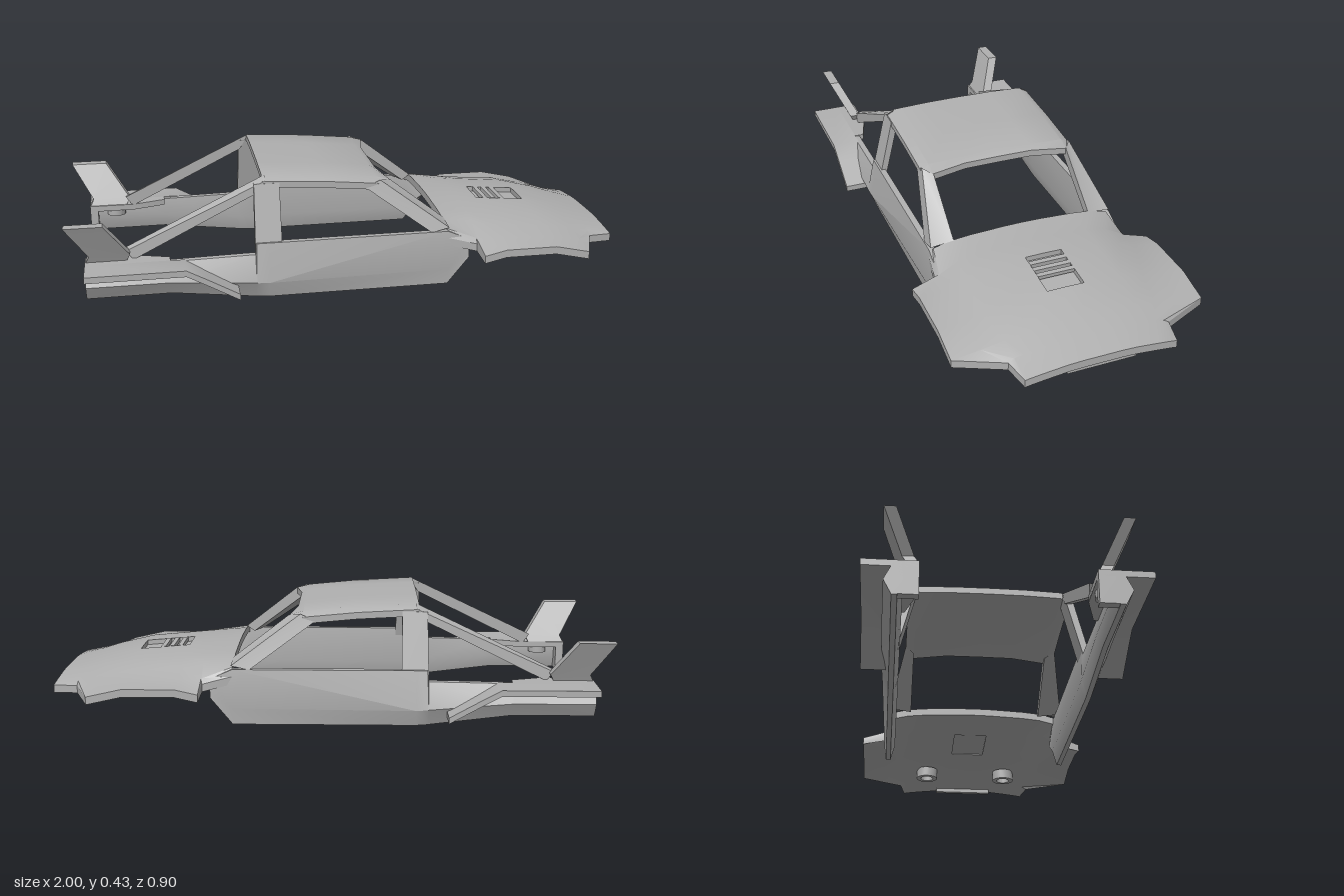
import * as THREE from 'three';
import { toCreasedNormals } from 'three/addons/utils/BufferGeometryUtils.js';

const bodyGrey = new THREE.MeshStandardMaterial({ color: 0xb0b0b0, side: THREE.DoubleSide });
bodyGrey.name = 'body grey';

function fromQuads(quads) {
  const pos = [];
  for (const [a, b, c, d] of quads) pos.push(...a, ...b, ...c, ...a, ...c, ...d);
  const g = new THREE.BufferGeometry();
  g.setAttribute('position', new THREE.Float32BufferAttribute(pos, 3));
  return toCreasedNormals(g, 0.5);
}

// Thick sheet from a grid of points, t deep downwards; skipped cells become holes
function sheet(rows, t, skip = () => false) {
  const quads = [];
  const low = p => [p[0], p[1] - t, p[2]];
  const has = (i, j) => i >= 0 && j >= 0 && i < rows.length - 1 && j < rows[0].length - 1 && !skip(i, j);
  for (let i = 0; i < rows.length - 1; i++) {
    for (let j = 0; j < rows[0].length - 1; j++) {
      if (!has(i, j)) continue;
      const a = rows[i][j], b = rows[i][j + 1], c = rows[i + 1][j + 1], d = rows[i + 1][j];
      quads.push([a, b, c, d], [low(d), low(c), low(b), low(a)]);
      const wall = (p, q) => quads.push([q, p, low(p), low(q)]);
      if (!has(i - 1, j)) wall(a, b);
      if (!has(i, j + 1)) wall(b, c);
      if (!has(i + 1, j)) wall(c, d);
      if (!has(i, j - 1)) wall(d, a);
    }
  }
  return fromQuads(quads);
}

// Solid from closed cross-sections, capped at both ends
function loft(rings) {
  const quads = [], n = rings[0].length;
  for (let i = 0; i < rings.length - 1; i++) {
    for (let j = 0; j < n; j++) {
      const k = (j + 1) % n;
      quads.push([rings[i][j], rings[i][k], rings[i + 1][k], rings[i + 1][j]]);
    }
  }
  const cap = r => {
    for (let j = 1; j < n - 1; j += 2) quads.push([r[0], r[j], r[j + 1], r[Math.min(j + 2, n - 1)]]);
  };
  cap([...rings[0]].reverse());
  cap(rings[rings.length - 1]);
  return fromQuads(quads);
}

// Half row of points [x, y, z], centre outwards, mirrored to a full row
const mirrorRow = half => [
  ...half.slice(1).reverse().map(([x, y, z]) => [x, y, -z]),
  ...half,
];

export function createModel() {
  const model = new THREE.Group();
  const add = (parent, name, geometry, x = 0, y = 0, z = 0) => {
    const m = new THREE.Mesh(geometry, bodyGrey);
    m.name = name;
    m.position.set(x, y, z);
    parent.add(m);
    return m;
  };

  // Hood with flared front fenders: station x, then [z, y] from centre outwards
  const hood = [
    [0.34, [[0, 0.235], [0.067, 0.234], [0.2, 0.228], [0.27, 0.221], [0.335, 0.205], [0.352, 0.175]]],
    [0.445, [[0, 0.228], [0.067, 0.227], [0.2, 0.219], [0.28, 0.205], [0.35, 0.168], [0.365, 0.15]]],
    [0.45, [[0, 0.228], [0.067, 0.227], [0.2, 0.219], [0.28, 0.205], [0.355, 0.165], [0.45, 0.135]]],
    [0.53, [[0, 0.222], [0.067, 0.221], [0.2, 0.212], [0.29, 0.192], [0.36, 0.165], [0.45, 0.153]]],
    [0.715, [[0, 0.206], [0.067, 0.205], [0.2, 0.195], [0.29, 0.176], [0.36, 0.16], [0.45, 0.153]]],
    [0.84, [[0, 0.177], [0.067, 0.176], [0.18, 0.169], [0.27, 0.152], [0.35, 0.138], [0.45, 0.125]]],
    [0.91, [[0, 0.158], [0.067, 0.157], [0.15, 0.152], [0.23, 0.14], [0.265, 0.132], [0.285, 0.12]]],
    [1, [[0, 0.134], [0.067, 0.134], [0.12, 0.132], [0.2, 0.124], [0.25, 0.118], [0.266, 0.115]]],
  ];
  const hoodRows = hood.map(([x, half]) => mirrorRow(half.map(([z, y]) => [x, y, z])));
  add(model, 'hood', sheet(hoodRows, 0.028, (i, j) => i === 3 && (j === 4 || j === 5)));
  add(model, 'frontLip', new THREE.BoxGeometry(0.02, 0.016, 0.24), 0.985, 0.1, 0);

  // Hood vent: recessed floor and slats
  const ventFloor = add(model, 'ventFloor', new THREE.BoxGeometry(0.19, 0.006, 0.136), 0.622, 0.192, 0);
  ventFloor.rotation.z = -0.086;
  for (const x of [0.565, 0.598, 0.63]) {
    const slat = add(model, 'ventSlat', new THREE.BoxGeometry(0.018, 0.014, 0.134), x, 0.209 - (x - 0.6) * 0.086, 0);
    slat.rotation.z = -0.086;
  }

  // Roof with chamfered sides and a windscreen header
  const roofRows = [
    [-0.32, 0.43], [-0.1, 0.418], [0.09, 0.4], [0.115, 0.387],
  ].map(([x, y], i) => mirrorRow([
    [x, y, 0], [x, y - 0.001, 0.13], [x + (i === 3 ? 0.025 : 0), y - 0.006, 0.262],
    [x, y - 0.022, 0.293],
  ]));
  add(model, 'roof', sheet(roofRows, 0.024));

  // Everything below is one side, built at +z and mirrored
  for (const side of [1, -1]) {
    const half = new THREE.Group();
    half.name = side > 0 ? 'rightSide' : 'leftSide';
    half.scale.z = side;
    model.add(half);

    // Lower body with a keel-shaped sill: x, bottom, waist, top, outer z at the waist
    const lower = [
      [-0.94, 0.04, 0.09, 0.152, 0.38],
      [-0.65, 0.04, 0.09, 0.155, 0.382],
      [-0.355, 0.004, 0.064, 0.16, 0.378],
      [-0.35, 0.003, 0.063, 0.2, 0.378],
      [-0.31, 0, 0.06, 0.2, 0.376],
      [0.34, 0, 0.06, 0.2, 0.362],
      [0.42, 0.098, 0.11, 0.165, 0.352],
    ];
    add(half, 'lowerBody', loft(lower.map(([x, yb, ym, yt, zo]) => [
      [x, yb, 0.336], [x, yb, 0.354], [x, ym, zo], [x, yt, 0.35], [x, yt, 0.327], [x, ym, 0.32],
    ])));

    // Door pillar and windscreen pillar
    add(half, 'doorPillar', loft([
      [[-0.355, 0.16, 0.328], [-0.26, 0.16, 0.328], [-0.26, 0.16, 0.352], [-0.355, 0.16, 0.352]],
      [[-0.35, 0.4, 0.268], [-0.26, 0.4, 0.268], [-0.26, 0.4, 0.294], [-0.35, 0.4, 0.294]],
    ]));
    add(half, 'windscreenPillar', loft([
      [[0.045, 0.365, 0.292], [0.1, 0.389, 0.29], [0.142, 0.38, 0.26], [0.1, 0.36, 0.26]],
      [[0.28, 0.198, 0.347], [0.345, 0.212, 0.345], [0.345, 0.222, 0.26], [0.315, 0.2, 0.26]],
    ]));

    // Buttress running from the roof to the tail
    add(half, 'rearButtress', loft([
      [[-0.31, 0.425, 0.268], [-0.31, 0.41, 0.294], [-0.345, 0.365, 0.296], [-0.345, 0.365, 0.27]],
      [[-0.8, 0.19, 0.272], [-0.8, 0.185, 0.298], [-0.775, 0.152, 0.3], [-0.775, 0.152, 0.274]],
    ]));

    // Flared rear fender: flat deck, then a slope down to the sill
    const flare = [[-0.94, 0.158], [-0.6, 0.158], [-0.53, 0.12], [-0.42, 0.058]];
    add(half, 'rearFender', sheet(flare.map(([x, y]) => [[x, y, 0.345], [x, y, 0.45]]), 0.022));
    add(half, 'tailDeck', sheet([
      [[-0.94, 0.158, 0.272], [-0.94, 0.158, 0.36]],
      [[-0.77, 0.158, 0.272], [-0.77, 0.158, 0.36]],
      [[-0.65, 0.158, 0.31], [-0.65, 0.158, 0.36]],
    ], 0.022));
    add(half, 'tailPlate', new THREE.BoxGeometry(0.03, 0.112, 0.07), -0.925, 0.098, 0.307);

    // Tail fin leaning outwards and back
    const fin = [[-0.94, -0.8, 0.152, 0.275], [-0.925, -0.785, 0.182, 0.288], [-1, -0.87, 0.31, 0.348]];
    add(half, 'tailFin', loft(fin.map(([xa, xb, y, z]) => [
      [xa, y, z], [xb, y, z], [xb, y, z + 0.038], [xa, y, z + 0.038],
    ])));

    // Round mounts under the nose and the tail
    for (const [x, y, z, r] of [[0.84, 0.125, 0.17, 0.045], [-0.84, 0.13, 0.315, 0.035]]) {
      const profile = [[0.6, 0.02], [0.6, -0.02], [1, -0.02], [1, 0.02], [0.6, 0.02]];
      add(half, 'mountRing', toCreasedNormals(new THREE.LatheGeometry(
        profile.map(([k, h]) => new THREE.Vector2(k * r, h)), 20), 0.6), x, y, z);
    }
  }
  return model;
}
